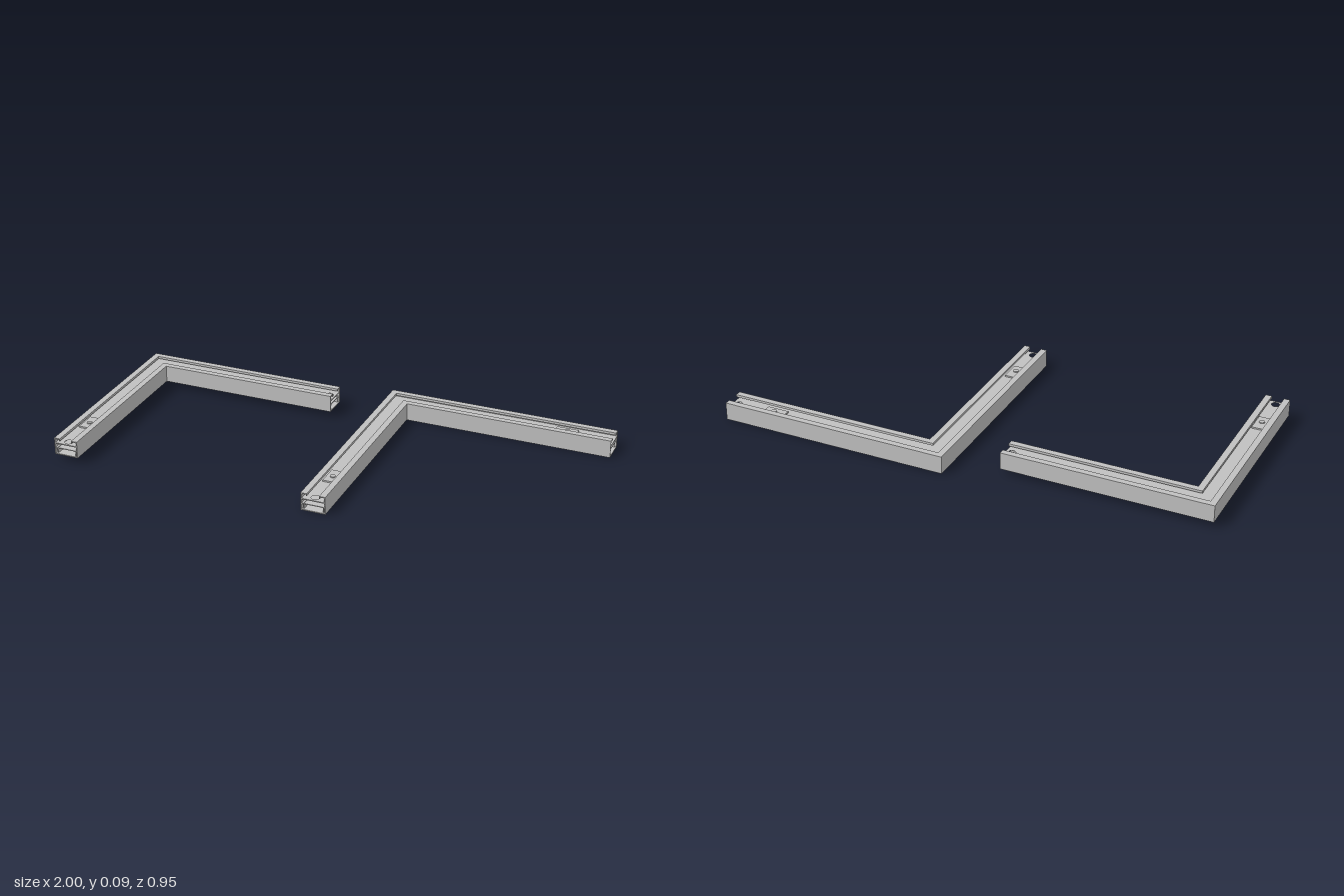
import * as THREE from 'three';

const grey = new THREE.MeshStandardMaterial({ color: 0xc0c0c0 });
grey.name = 'aluminium grey';

// One L-shaped slotted track: outer corner at (x0, z0), arms running to x1 and z1
function makeTrack(name, x0, z0, x1, z1, y0, height, hardware) {
  const track = new THREE.Group();
  track.name = name;
  track.position.y = y0;
  const W = 0.1, T = 0.004;

  const add = (part, geometry, x = 0, y = 0, z = 0, parent = track) => {
    const mesh = new THREE.Mesh(geometry, grey);
    mesh.name = part;
    mesh.position.set(x, y, z);
    parent.add(mesh);
    return mesh;
  };

  // Mitred L strip between offsets a and b from the outer edges
  const strip = (part, a, b, bottom, top, holes = []) => {
    const shape = new THREE.Shape([
      [x0 + a, z1], [x0 + a, z0 + a], [x1, z0 + a],
      [x1, z0 + b], [x0 + b, z0 + b], [x0 + b, z1],
    ].map(([x, z]) => new THREE.Vector2(x, -z)));
    for (const [x, z] of holes) {
      shape.holes.push(new THREE.Path().absarc(x, -z, 0.016, 0, Math.PI * 2, true));
    }
    const geometry = new THREE.ExtrudeGeometry(shape, { depth: top - bottom, bevelEnabled: false, curveSegments: 16 });
    geometry.rotateX(-Math.PI / 2);
    add(part, geometry, 0, bottom, 0);
  };

  // Channel section
  strip('floor', 0, W, 0, T);
  strip('outerWall', 0, T, T, height);
  strip('innerWall', W - T, W, T, height);
  strip('outerTopLip', T, 0.025, height - T, height);
  strip('innerTopLip', W - 0.025, W - T, height - T, height);
  strip('outerLipReturn', 0.022, 0.025, height - 0.01, height - T);
  strip('innerLipReturn', W - 0.025, W - 0.022, height - 0.01, height - T);
  strip('shelf', T, W - T, 0.046, 0.05, [[x1 - 0.025, z0 + W / 2], [x0 + W / 2, z1 - 0.025]]);
  strip('outerRib', T, 0.012, 0.026, 0.029);
  strip('innerRib', W - 0.012, W - T, 0.026, 0.029);

  // End fittings, laid out along local +x and measured back from the open end
  const fitEnd = (part, x, z, angle, withPlate) => {
    const end = new THREE.Group();
    end.name = part;
    end.position.set(x, 0, z);
    end.rotation.y = angle;
    track.add(end);
    add('bracketTop', new THREE.BoxGeometry(0.1, 0.003, 0.076), -0.055, 0.0255, 0, end);
    for (const side of [-1, 1]) {
      add('bracketLeg', new THREE.BoxGeometry(0.1, 0.02, 0.003), -0.055, 0.014, side * 0.0395, end);
    }
    if (!withPlate) return;
    add('connectorPlate', new THREE.BoxGeometry(0.09, 0.006, 0.05), -0.195, 0.053, 0, end);
    add('screwHead', new THREE.CylinderGeometry(0.011, 0.011, 0.004, 20), -0.19, 0.058, 0, end);
  };
  fitEnd('sideArmEnd', x1, z0 + W / 2, 0, hardware.side);
  fitEnd('frontArmEnd', x0 + W / 2, z1, -Math.PI / 2, hardware.front);
  return track;
}

export function createModel() {
  const model = new THREE.Group();
  model.name = 'cornerTracks';
  model.add(
    makeTrack('smallCornerTrack', -1, -0.38, -0.15, 0.473, 0.022, 0.07, { side: false, front: true }),
    makeTrack('largeCornerTrack', 0.048, -0.474, 1, 0.473, 0, 0.073, { side: true, front: true }),
  );
  return model;
}
